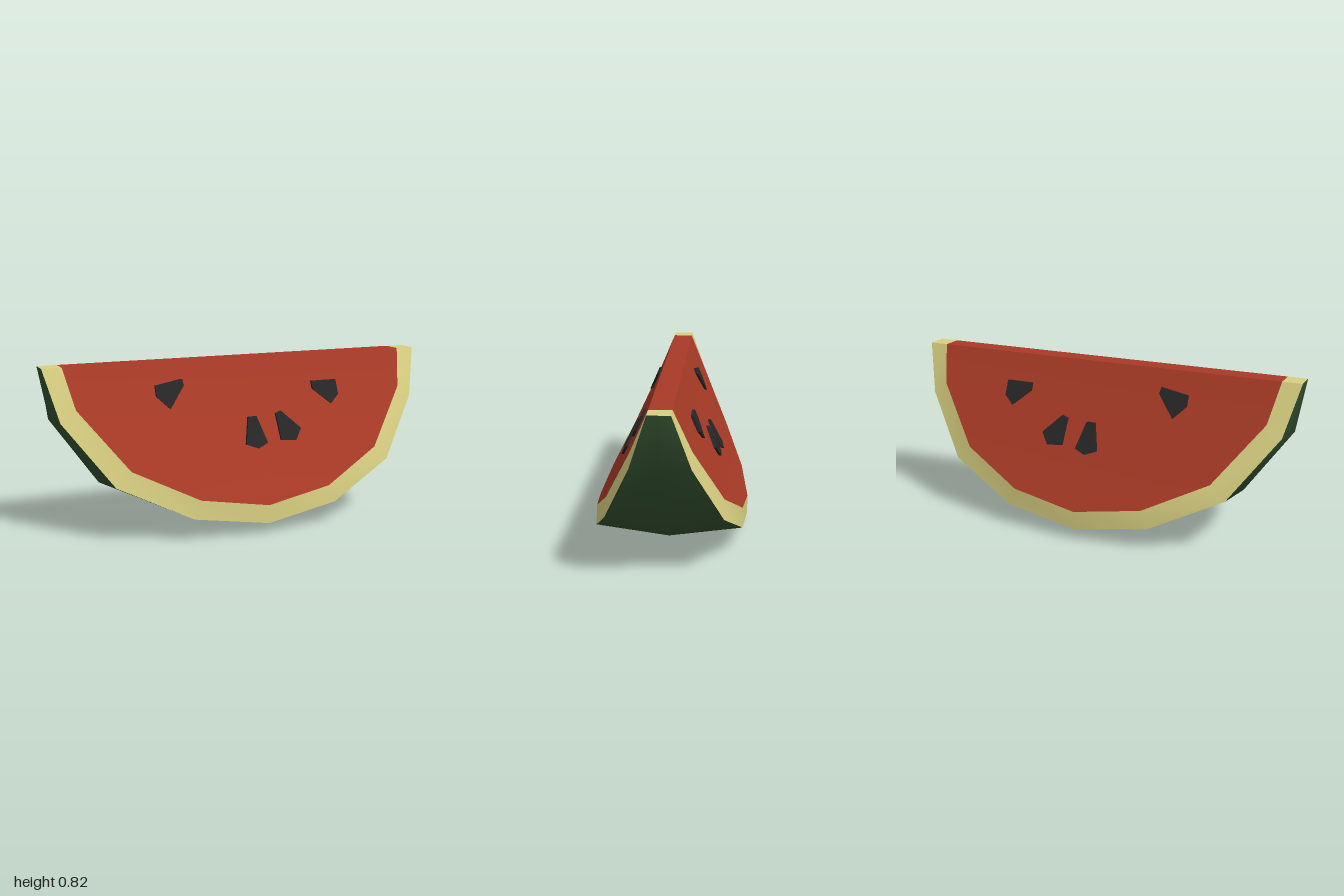
import * as THREE from 'three';

const mat = (name, color) => Object.assign(new THREE.MeshStandardMaterial({ color }), { name });

// Half outlines from the middle bottom to the top corner: [x, y]
const INNER = [[0, 0.145], [0.34, 0.2], [0.65, 0.35], [0.865, 0.63], [0.905, 0.82]];
const OUTER = [[0, 0.055], [0.375, 0.112], [0.725, 0.28], [0.94, 0.575], [1, 0.82]];
const RIDGE = [[0, 0], [0.38, 0.065], [0.735, 0.245], [0.967, 0.575], [1, 0.82]];
const DEPTH = [0.38, 0.352, 0.266, 0.131, 0.05];
const TOP = 0.82;

// Seed outlines on the cut face
const SEEDS = [
  [[-0.475, 0.715], [-0.335, 0.738], [-0.33, 0.71], [-0.415, 0.607], [-0.475, 0.665]],
  [[0.355, 0.687], [0.495, 0.687], [0.495, 0.617], [0.445, 0.575], [0.355, 0.65]],
  [[-0.025, 0.543], [0.02, 0.543], [0.055, 0.42], [0, 0.398], [-0.06, 0.42]],
  [[0.125, 0.548], [0.158, 0.558], [0.248, 0.473], [0.21, 0.42], [0.13, 0.425]],
];

// Full left-to-right row of points from a half outline
const row = (half, z) => [-4, -3, -2, -1, 0, 1, 2, 3, 4].map((i) => {
  const k = Math.abs(i);
  return [Math.sign(i) * half[k][0], half[k][1], z * DEPTH[k]];
});

// Surface through rows of points, rows top to bottom, columns left to right
function grid(name, rows, material) {
  const n = rows[0].length;
  const index = [];
  for (let r = 0; r < rows.length - 1; r++) {
    for (let c = 0; c < n - 1; c++) {
      const a = r * n + c, b = a + n;
      index.push(a, b, b + 1, a, b + 1, a + 1);
    }
  }
  const g = new THREE.BufferGeometry();
  g.setAttribute('position', new THREE.Float32BufferAttribute(rows.flat(2), 3));
  g.setIndex(index);
  g.computeVertexNormals();
  const mesh = new THREE.Mesh(g, material);
  mesh.name = name;
  return mesh;
}

// Depth of the cut face at height y
function fleshZ(y) {
  let k = 0;
  while (k < 3 && y > INNER[k + 1][1]) k++;
  const t = (y - INNER[k][1]) / (INNER[k + 1][1] - INNER[k][1]);
  return DEPTH[k] + t * (DEPTH[k + 1] - DEPTH[k]);
}

function seed(points, flip, material) {
  const shape = new THREE.Shape(points.map(([x, y]) => new THREE.Vector2(x * flip, y)));
  const g = new THREE.ExtrudeGeometry(shape, { depth: 0.025, bevelEnabled: false });
  const p = g.attributes.position;
  // Lean the seed along the sloping flesh
  for (let i = 0; i < p.count; i++) p.setZ(i, p.getZ(i) - 0.012 + fleshZ(p.getY(i)));
  g.computeVertexNormals();
  const mesh = new THREE.Mesh(g, material);
  mesh.name = 'seed';
  return mesh;
}

export function createModel() {
  const red = mat('flesh red', 0xa83a26);
  const cream = mat('inner rind yellow', 0xd9d081);
  const green = mat('rind green', 0x345030);
  const black = mat('seed black', 0x262626);

  const model = new THREE.Group();
  model.name = 'melonSlice';

  // Green skin, front edge to ridge to back edge
  model.add(grid('rind', [row(OUTER, 1), row(RIDGE, 0), row(OUTER, -1)], green));

  // Two cut faces with their pale border and seeds
  for (const flip of [1, -1]) {
    const side = new THREE.Group();
    side.name = flip > 0 ? 'frontCut' : 'backCut';
    const fleshRows = [4, 3, 2, 1, 0].map((k) =>
      [-1, 1].map((s) => [s * INNER[k][0], INNER[k][1], DEPTH[k]]));
    side.add(grid('flesh', fleshRows, red));
    side.add(grid('innerRind', [row(INNER, 1), row(OUTER, 1)], cream));
    SEEDS.forEach((pts) => side.add(seed(pts, flip, black)));
    if (flip < 0) side.rotation.y = Math.PI;
    model.add(side);
  }

  // Narrow flat top
  const strip = (name, x0, x1, m) => model.add(
    grid(name, [-0.05, 0.05].map((z) => [[x0, TOP, z], [x1, TOP, z]]), m));
  strip('topFlesh', -0.905, 0.905, red);
  strip('topRindRight', -1, -0.905, cream);
  strip('topRindLeft', 0.905, 1, cream);

  return model;
}
